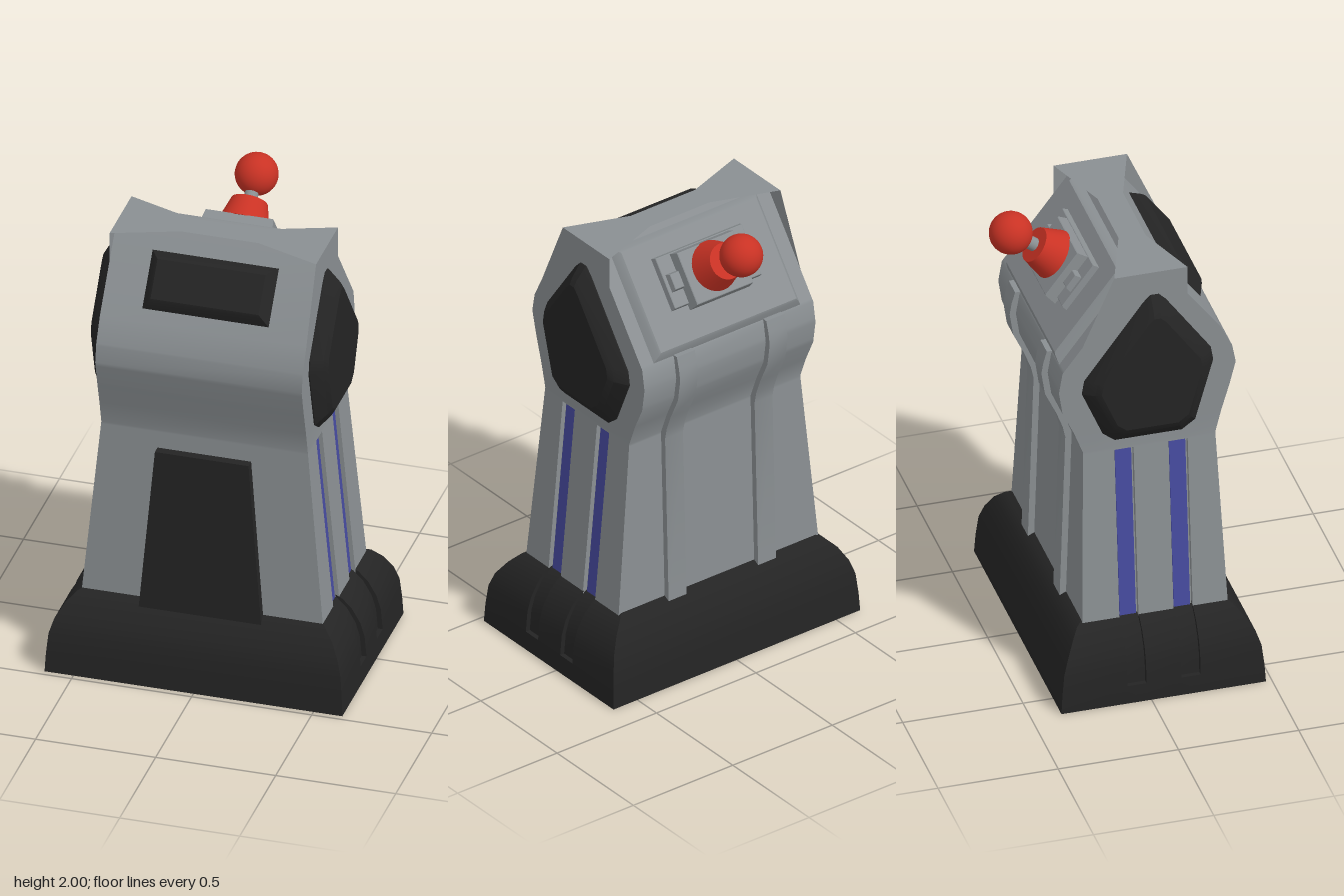
import * as THREE from 'three';
import { toCreasedNormals } from 'three/addons/utils/BufferGeometryUtils.js';

const V = (x, y, z) => new THREE.Vector3(x, y, z);

function material(name, color, side = THREE.FrontSide) {
  const m = new THREE.MeshStandardMaterial({ color, side });
  m.name = name;
  return m;
}

// Skin a stack of closed rings (counter-clockwise seen from the end), optionally capped
function loft(rings, capStart, capEnd, crease = 0.5) {
  const n = rings[0].length, pos = [], idx = [];
  rings.forEach(r => r.forEach(p => pos.push(p.x, p.y, p.z)));
  for (let i = 0; i < rings.length - 1; i++) {
    for (let j = 0; j < n; j++) {
      const a = i * n + j, b = i * n + (j + 1) % n;
      idx.push(a, b, b + n, a, b + n, a + n);
    }
  }
  const cap = (ring, start, flip) => {
    const c = ring.reduce((s, p) => s.add(p), V(0, 0, 0)).divideScalar(n);
    const k = pos.length / 3;
    pos.push(c.x, c.y, c.z);
    for (let j = 0; j < n; j++) {
      const a = start + j, b = start + (j + 1) % n;
      idx.push(k, flip ? b : a, flip ? a : b);
    }
  };
  if (capStart) cap(rings[0], 0, true);
  if (capEnd) cap(rings[rings.length - 1], (rings.length - 1) * n, false);
  const g = new THREE.BufferGeometry();
  g.setAttribute('position', new THREE.Float32BufferAttribute(pos, 3));
  g.setIndex(idx);
  return toCreasedNormals(g, crease);
}

// Linear lookup in a list of [y, value]
function at(list, y) {
  for (let i = 1; i < list.length; i++) {
    const [y0, v0] = list[i - 1], [y1, v1] = list[i];
    if (y <= y1) return v0 + (v1 - v0) * (y - y0) / (y1 - y0);
  }
  return list[list.length - 1][1];
}

const rect = (y, hx, zf, zb) => [V(hx, y, zf), V(hx, y, zb), V(-hx, y, zb), V(-hx, y, zf)];

// Rectangle with two grooves of depth d in each side
const grooves = [[0.205, 0.125], [-0.02, -0.1]];
function groovedRing(y, hx, zf, zb, d) {
  const side = [[hx, zf]];
  for (const [a, b] of grooves) side.push([hx, a], [hx - d, a], [hx - d, b], [hx, b]);
  side.push([hx, zb]);
  return [...side.map(([x, z]) => V(x, y, z)), ...side.reverse().map(([x, z]) => V(-x, y, z))];
}

// Body outline: front, back and half width by height
const front = [[0.3, 0.352], [1.1, 0.32], [1.2, 0.345], [1.32, 0.38], [1.42, 0.405], [1.5, 0.39], [1.6, 0.34], [1.905, 0.11]];
const back = [[0.3, -0.255], [1.1, -0.23], [1.2, -0.268], [1.3, -0.315], [1.4, -0.33], [1.49, -0.315], [1.905, 0]];
const half = [[0.3, 0.505], [1.1, 0.43], [1.905, 0.43]];

export function createModel() {
  const model = new THREE.Group();
  model.name = 'leverConsole';
  const gray = material('gray casing', 0x8a8f92, THREE.DoubleSide);
  const black = material('black plastic', 0x242424, THREE.DoubleSide);
  const blue = material('blue strip', 0x464a9e);
  const red = material('red lever', 0xc93224);

  const add = (name, geometry, mat, parent = model) => {
    const m = new THREE.Mesh(geometry, mat);
    m.name = name;
    parent.add(m);
    return m;
  };

  // Hollow rounded base, grooved at the sides
  const baseRows = [
    [0, 0.62, 0.475, -0.375, 0], [0.08, 0.616, 0.47, -0.37, 0], [0.08, 0.616, 0.47, -0.37, 0.02],
    [0.17, 0.608, 0.46, -0.36, 0.02], [0.23, 0.59, 0.44, -0.34, 0.02], [0.29, 0.555, 0.4, -0.31, 0.02],
    [0.33, 0.515, 0.365, -0.28, 0.02], [0.348, 0.48, 0.33, -0.245, 0.02],
  ];
  add('base', loft(baseRows.map(r => groovedRing(...r)), false, false), black);

  // Body shell, open below
  const levels = [[0.3, 0.02], [1.09, 0.02], [1.09, 0],
    ...[1.1, 1.2, 1.3, 1.32, 1.4, 1.42, 1.49, 1.5, 1.6, 1.905].map(y => [y, 0])];
  add('body', loft(levels.map(([y, d]) => groovedRing(y, at(half, y), at(front, y), at(back, y), d)), false, true), gray);

  // Front door
  add('frontDoor', loft([rect(0.31, 0.255, 0.385, 0.3), rect(1.02, 0.195, 0.36, 0.28)], true, true), black);

  for (const s of [1, -1]) {
    // Blue strips lying in the side grooves
    for (const [a, b] of grooves) {
      const strip = add('sideStrip', new THREE.BoxGeometry(0.006, 0.77, a - b - 0.012), blue);
      strip.position.set(s * 0.4485, 0.705, (a + b) / 2);
      strip.rotation.z = s * 0.0935;
    }

    // Bevelled five-sided side panel, as [y, z]
    const outline = [[1.8, 0.085], [1.77, 0.115], [1.51, 0.3], [1.45, 0.31], [1.18, 0.235], [1.14, 0.18],
      [1.14, -0.1], [1.18, -0.15], [1.38, -0.235], [1.44, -0.225], [1.77, 0.02], [1.8, 0.05]];
    const ring = (x, k) => {
      const r = outline.map(([y, z]) => V(s * x, 1.47 + (y - 1.47) * k, 0.045 + (z - 0.045) * k));
      return s > 0 ? r : r.reverse();
    };
    add('sidePanel', loft([ring(0.42, 1), ring(0.435, 1), ring(0.48, 0.85), ring(0.495, 0.77)], false, true, 0.4), black);

    // Raised rib down the back
    const ys = [0.3, 1.08, 1.13, 1.2, 1.3, 1.4, 1.45, 1.5];
    const rib = ys.map(y => rect(y, 0.045, at(back, y) + 0.02, at(back, y) - 0.026));
    add('backRib', loft(rib, true, true), gray).position.x = s * 0.225;
  }

  // Plate on a sloped face: reaches from a0 to a1 along z and n0 to n1 out of the face
  const plate = (name, mat, parent, hx, a0, a1, n0, n1, inset) =>
    add(name, loft([rect(n0, hx, a1, a0), rect(n1 - inset * 0.2, hx - inset * 0.75, a1 - inset * 0.75, a0 + inset * 0.75),
      rect(n1, hx - inset, a1 - inset, a0 + inset)], false, true), mat, parent);

  // Front screen on the upper front slope
  const frontSlope = new THREE.Group();
  frontSlope.name = 'frontSlope';
  frontSlope.position.set(0, 1.905, 0.11);
  frontSlope.rotation.x = 0.924;
  model.add(frontSlope);
  plate('frontScreen', black, frontSlope, 0.27, 0.082, 0.335, -0.01, 0.046, 0.045);

  // Lever mount on the upper back slope
  const backSlope = new THREE.Group();
  backSlope.name = 'leverSlope';
  backSlope.position.set(0, 1.905, 0);
  backSlope.rotation.x = -0.921;
  model.add(backSlope);
  plate('backPlate', gray, backSlope, 0.375, -0.52, -0.02, -0.01, 0.035, 0.035);
  plate('mountPlate', gray, backSlope, 0.225, -0.35, -0.12, 0.02, 0.06, 0.01);
  plate('leverBlock', gray, backSlope, 0.15, -0.37, -0.13, 0.05, 0.105, 0.012);
  for (const s of [1, -1]) plate('mountEar', gray, backSlope, 0.03, -0.28, -0.2, 0.05, 0.085, 0.01).position.x = s * 0.175;

  // Lever
  const lever = new THREE.Group();
  lever.name = 'lever';
  lever.position.z = -0.24;
  backSlope.add(lever);
  add('leverCone', new THREE.CylinderGeometry(0.075, 0.105, 0.1, 32), red, lever).position.y = 0.152;
  add('leverShaft', new THREE.CylinderGeometry(0.028, 0.028, 0.12, 20), gray, lever).position.y = 0.23;
  add('leverBall', new THREE.SphereGeometry(0.088, 32, 20), red, lever).position.y = 0.325;

  return model;
}
